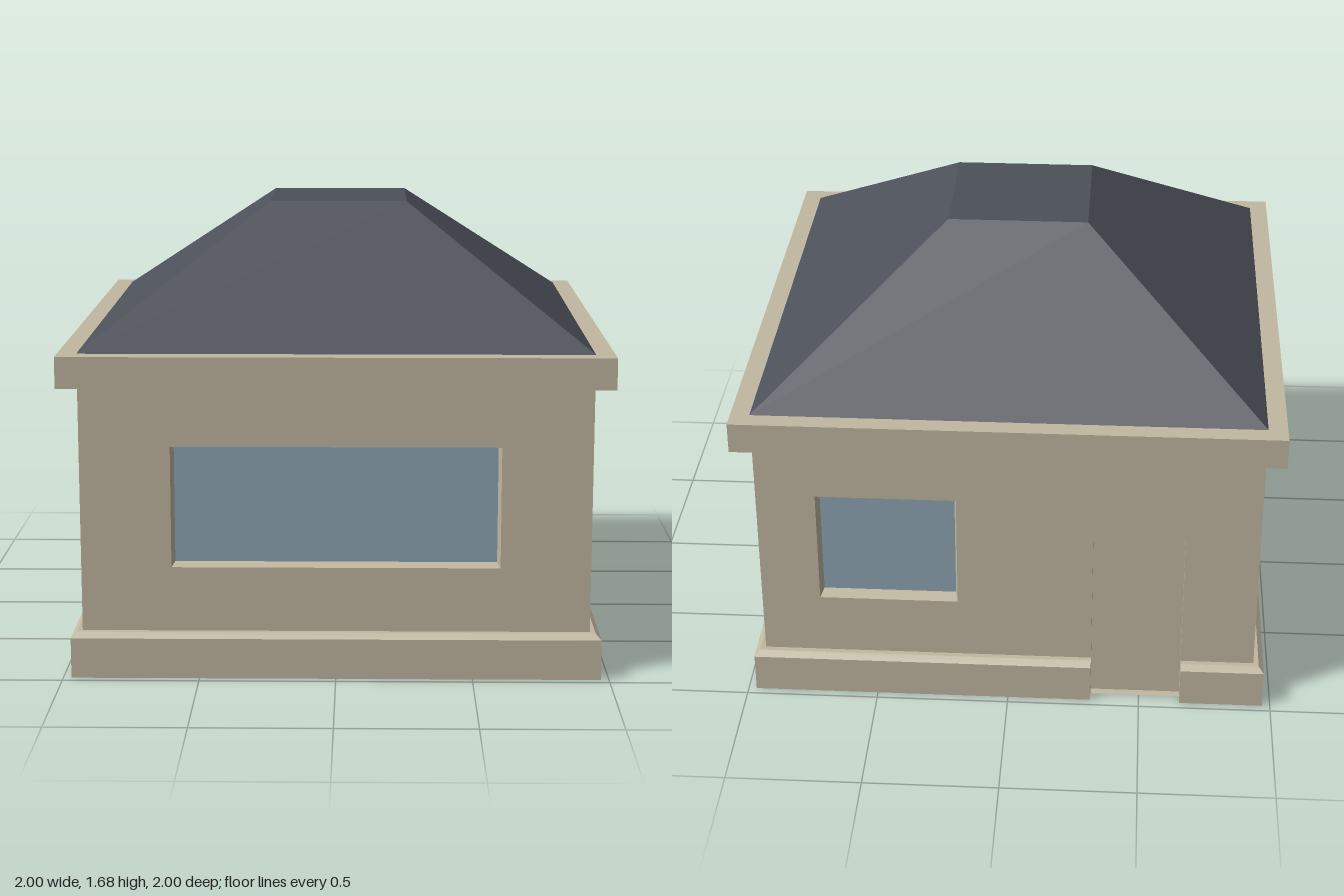
import * as THREE from 'three';

const material = (color) => new THREE.MeshStandardMaterial({ color, flatShading: true, side: THREE.DoubleSide });

const WALL = 0.93; // half width of the walls
const WALL_TOP = 1.1;

function mesh(name, geometry, mat) {
  const m = new THREE.Mesh(geometry, mat);
  m.name = name;
  return m;
}

// Geometry from a list of quads, each given as four corners
function fromQuads(quads) {
  const positions = quads.flatMap(([a, b, c, d]) => [a, b, c, a, c, d].flat());
  const g = new THREE.BufferGeometry();
  g.setAttribute('position', new THREE.Float32BufferAttribute(positions, 3));
  g.computeVertexNormals();
  return g;
}

const corners = ([x0, x1, y0, y1], inset, z) => [
  [x0 + inset, y0 + inset, z], [x1 - inset, y0 + inset, z],
  [x1 - inset, y1 - inset, z], [x0 + inset, y1 - inset, z],
];

// Recessed opening: sloped reveal around a flat panel
function opening(name, rect, inset, depth, wallMat, panelMat) {
  const outer = corners(rect, inset && 0, WALL);
  const inner = corners(rect, inset, WALL - depth);
  const group = new THREE.Group();
  group.name = name;
  group.add(mesh(name + 'Reveal', fromQuads(outer.map((p, i) => {
    const j = (i + 1) % 4;
    return [p, outer[j], inner[j], inner[i]];
  })), wallMat));
  group.add(mesh(name + 'Panel', fromQuads([inner]), panelMat));
  return group;
}

// One wall facing +z with its windows and an optional door
function facade(name, windows, door, wallMat, glassMat) {
  const group = new THREE.Group();
  group.name = name;
  const outline = [[-WALL, 0]];
  if (door) {
    const [x0, x1, y0, y1] = door;
    outline.push([x0, y0], [x0, y1], [x1, y1], [x1, y0]);
    group.add(opening('door', door, 0, 0.03, wallMat, wallMat));
  }
  outline.push([WALL, 0], [WALL, WALL_TOP], [-WALL, WALL_TOP]);
  const toPoints = (list) => list.map(([x, y]) => new THREE.Vector2(x, y));
  const shape = new THREE.Shape(toPoints(outline));
  for (const rect of windows) {
    shape.holes.push(new THREE.Path(toPoints(corners(rect, 0, 0))));
    group.add(opening('window', rect, 0.01, 0.05, wallMat, glassMat));
  }
  group.add(mesh('wall', new THREE.ShapeGeometry(shape).translate(0, 0, WALL), wallMat));
  return group;
}

// Chamfered plinth swept round the house, broken at the back door
function plinthGeometry(doorLeft, doorRight) {
  const profile = [[0.9, 0], [0.97, 0], [0.97, 0.15], [0.95, 0.17], [0.9, 0.17]];
  const rows = profile.map(([h, y]) => [
    [doorLeft, y, -h], [h, y, -h], [h, y, h], [-h, y, h], [-h, y, -h], [doorRight, y, -h],
  ]);
  const quads = [];
  for (let j = 0; j < rows.length - 1; j++) {
    for (let i = 0; i < 5; i++) {
      quads.push([rows[j][i], rows[j + 1][i], rows[j + 1][i + 1], rows[j][i + 1]]);
    }
  }
  // end caps beside the door
  const start = rows.map((r) => r[0]).reverse();
  const end = rows.map((r) => r[5]);
  for (const [a, b, c, d, e] of [start, end]) quads.push([a, b, c, d], [a, d, e, e]);
  return fromQuads(quads);
}

export function createModel() {
  const model = new THREE.Group();
  model.name = 'house';
  const wallMat = material(0xc2b8a2);
  const glassMat = material(0x8fa7b6);
  const roofMat = material(0x4c5058);

  // Three walls with a wide window: front, left, right
  const wide = [-0.6, 0.6, 0.41, 0.86];
  [['frontWall', 0], ['leftWall', Math.PI / 2], ['rightWall', -Math.PI / 2]].forEach(([name, angle]) => {
    const side = facade(name, [wide], null, wallMat, glassMat);
    side.rotation.y = angle;
    model.add(side);
  });

  // Back wall with a small window and a door
  const back = facade('backWall', [[-0.71, -0.19, 0.41, 0.86]], [0.315, 0.655, 0, 0.74], wallMat, glassMat);
  back.rotation.y = Math.PI;
  model.add(back);

  // Plinth and floor
  model.add(mesh('plinth', plinthGeometry(-0.315, -0.655), wallMat));
  model.add(mesh('floor', new THREE.PlaneGeometry(1.8, 1.8).rotateX(Math.PI / 2), wallMat));

  // Cornice slab under the roof
  model.add(mesh('cornice', new THREE.BoxGeometry(2, 0.115, 2).translate(0, 1.1425, 0), wallMat));

  // Hipped roof with a flat top
  const roof = new THREE.CylinderGeometry(0.262 * Math.SQRT2, WALL * Math.SQRT2, 0.48, 4);
  roof.rotateY(Math.PI / 4).translate(0, 1.44, 0);
  model.add(mesh('roof', roof, roofMat));

  return model;
}
